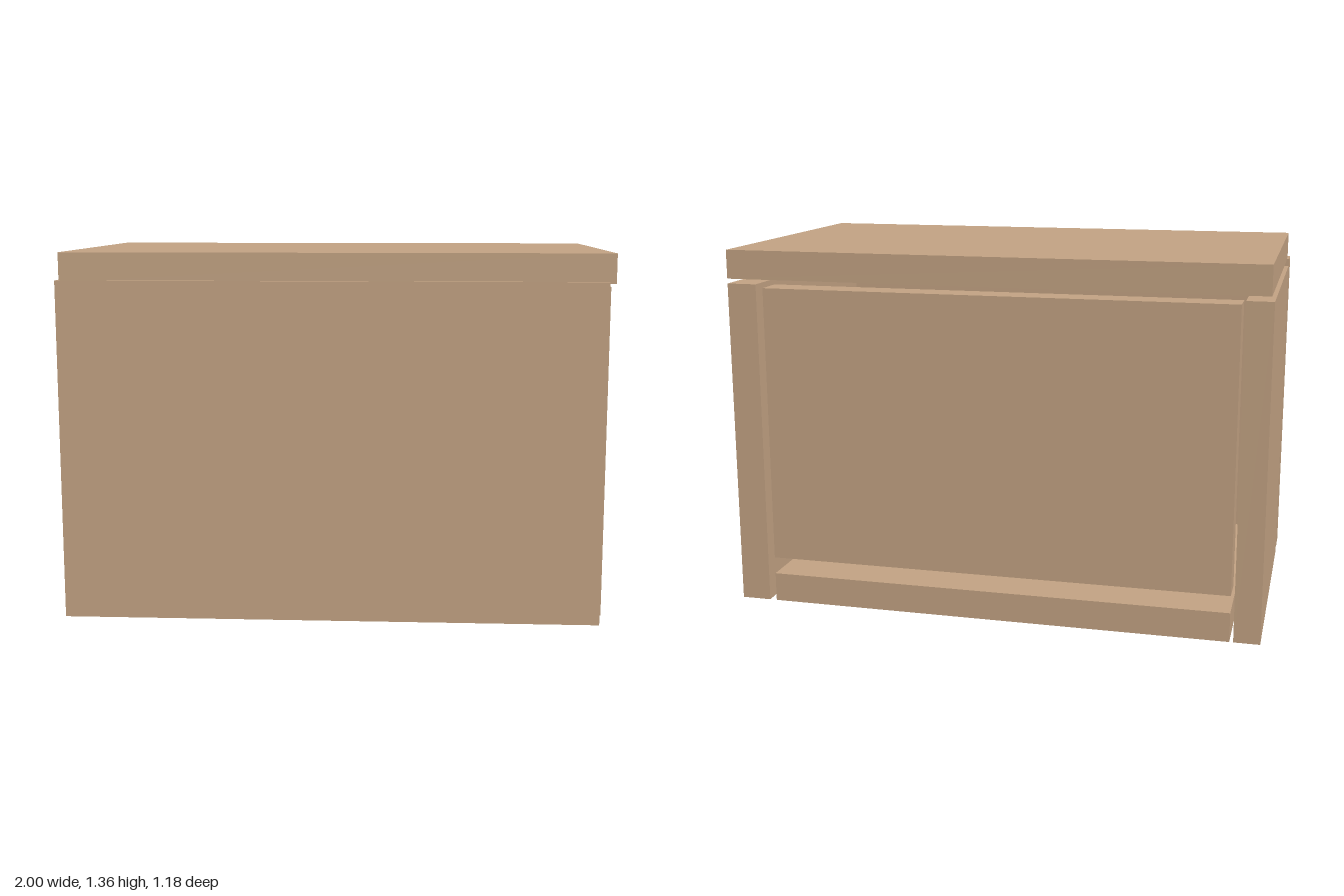
import * as THREE from 'three';

// Open carton built from six separate slabs with small gaps between them.
export function createModel() {
  const group = new THREE.Group();
  const cardboard = new THREE.MeshStandardMaterial({ color: 0xc4a484 });

  // Each slab: name, [min x, max x], [min y, max y], [min z, max z]
  const panel = (name, [x0, x1], [y0, y1], [z0, z1]) => {
    const mesh = new THREE.Mesh(new THREE.BoxGeometry(x1 - x0, y1 - y0, z1 - z0), cardboard);
    mesh.position.set((x0 + x1) / 2, (y0 + y1) / 2, (z0 + z1) / 2);
    mesh.name = name;
    group.add(mesh);
  };

  const depth = [-0.588, 0.443];  // shared by the sides and the floor
  const inner = [-0.89, 0.861];   // width between the two sides

  panel('frontPanel', [-1, 0.975], [0.01, 1.26], [0.48, 0.588]);
  panel('topPanel', [-0.99, 1], [1.253, 1.36], [-0.588, 0.567]);
  panel('leftPanel', [0.888, 1], [0, 1.235], depth);
  panel('rightPanel', [-1, -0.904], [0, 1.235], depth);
  panel('bottomPanel', inner, [0, 0.11], depth);
  panel('backPanel', inner, [0.175, 1.222], [-0.588, -0.48]);

  return group;
}
